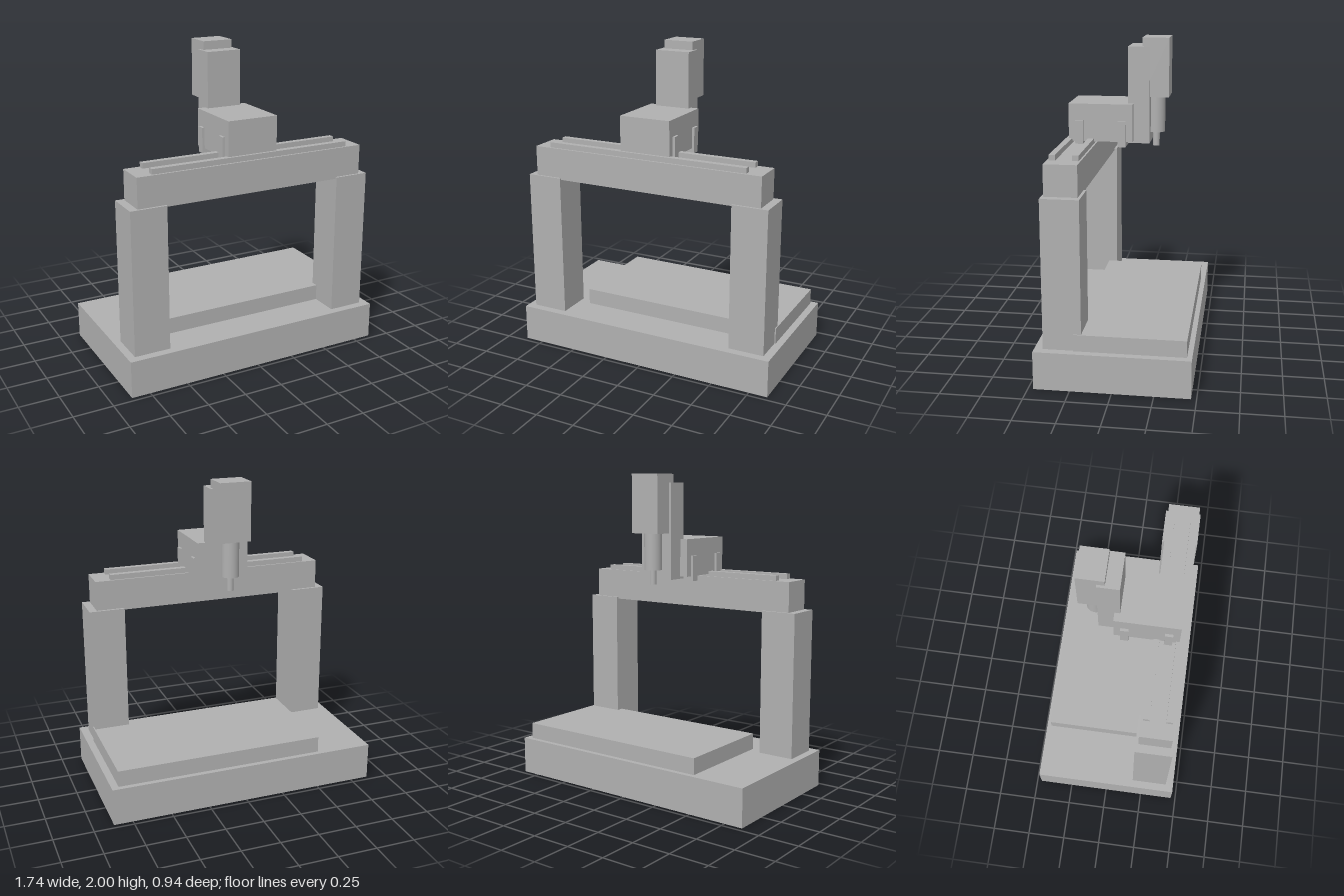
import * as THREE from 'three';

export function createModel() {
  const model = new THREE.Group();
  model.name = 'gantryMachine';
  const grey = new THREE.MeshStandardMaterial({ color: 0xb0b0b0 });
  grey.name = 'machine grey';

  const add = (name, geometry, x, y, z) => {
    const mesh = new THREE.Mesh(geometry, grey);
    mesh.name = name;
    mesh.position.set(x, y, z);
    model.add(mesh);
  };
  // Box given by its limits on each axis
  const box = (name, [x0, x1], [y0, y1], [z0, z1]) =>
    add(name, new THREE.BoxGeometry(x1 - x0, y1 - y0, z1 - z0),
      (x0 + x1) / 2, (y0 + y1) / 2, (z0 + z1) / 2);
  // Upright cylinder given by its radius and height limits
  const rod = (name, r, y0, y1, z) =>
    add(name, new THREE.CylinderGeometry(r, r, y1 - y0, 40), 0, (y0 + y1) / 2, z);

  // Base and work table
  box('base', [-0.87, 0.87], [0, 0.237], [-0.468, 0.468]);
  box('workTable', [-0.512, 0.825], [0.237, 0.34], [-0.437, 0.232]);

  // Gantry: two columns and a cross beam
  box('rightColumn', [-0.822, -0.59], [0.237, 1.155], [0.185, 0.416]);
  box('leftColumn', [0.59, 0.818], [0.237, 1.155], [0.185, 0.416]);
  box('crossBeam', [-0.77, 0.768], [1.143, 1.345], [0.202, 0.402]);

  // Rails on the beam
  for (const z of [0.232, 0.37])
    box('rail', [-0.67, 0.667], [1.345, 1.378], [z - 0.019, z + 0.019]);

  // Carriage with cross bars projecting at its sides
  box('carriage', [-0.168, 0.166], [1.36, 1.596], [-0.03, 0.372]);
  for (const z of [0.037, 0.304])
    box('carriageBar', [-0.185, 0.182], [1.33, 1.492], [z - 0.025, z + 0.025]);

  // Vertical slide and spindle
  box('verticalSlide', [-0.115, 0.113], [1.345, 1.947], [-0.13, 0.004]);
  box('spindleMotor', [-0.1, 0.098], [1.635, 2], [-0.248, -0.082]);
  rod('spindle', 0.055, 1.405, 1.64, -0.162);
  rod('toolBit', 0.021, 1.313, 1.41, -0.162);

  return model;
}
